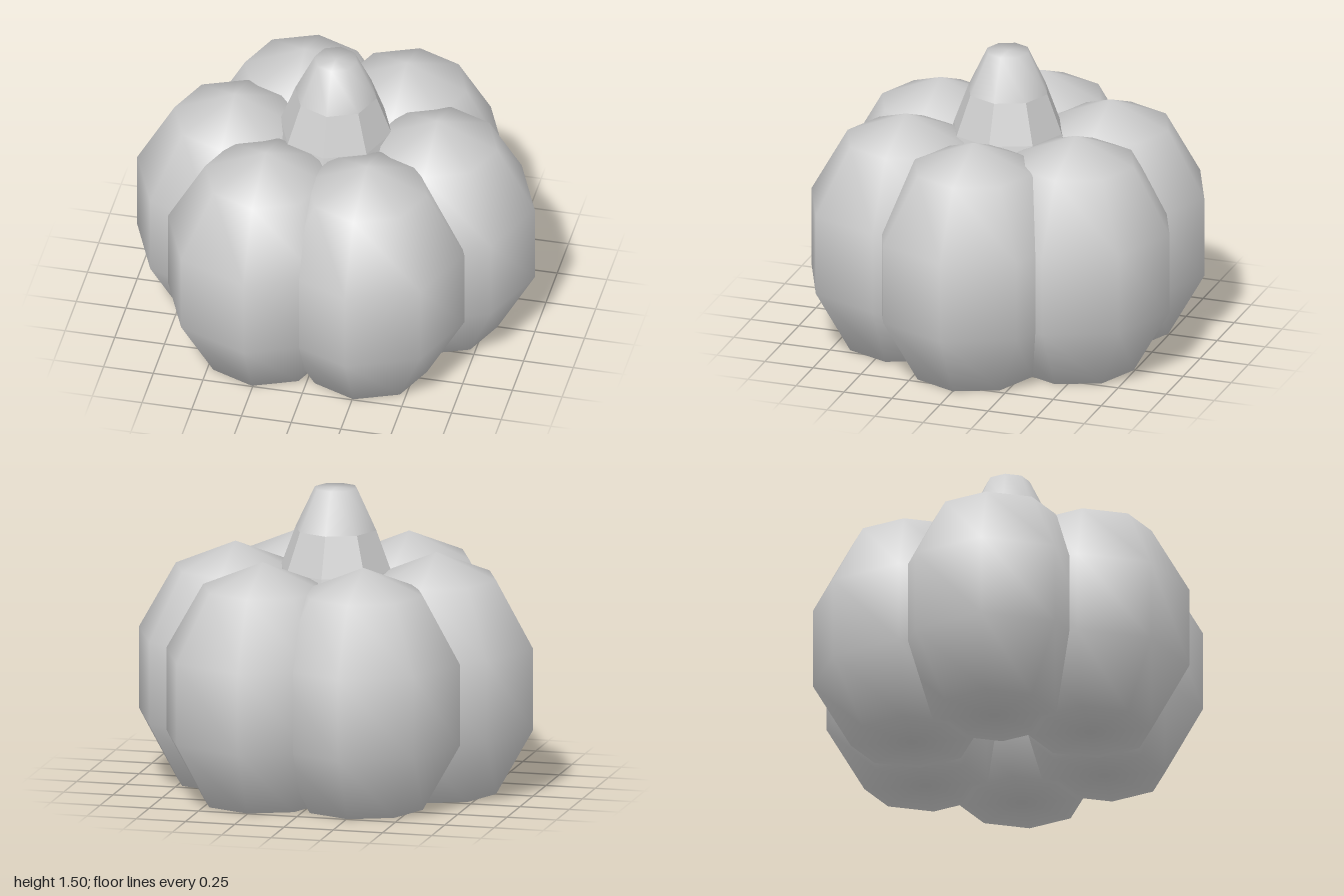
import * as THREE from 'three';

const grey = new THREE.MeshStandardMaterial({ color: 0xcccccc });
grey.name = 'light grey';

// One lobe: a coarse, stretched sphere whose underside is pressed flat on the ground
function lobeGeometry() {
  const g = new THREE.SphereGeometry(0.515, 8, 5);
  g.scale(1, 0.663 / 0.515, 1);
  g.translate(0, 0.536, 0);
  const p = g.attributes.position;
  for (let i = 0; i < p.count; i++) p.setY(i, Math.max(0, p.getY(i)));
  return g;
}

// Eight-sided turned band, with points listed from bottom to top
function band(points, name, flat) {
  let g = new THREE.LatheGeometry(points.map(([r, y]) => new THREE.Vector2(r, y)), 8);
  if (flat) {
    g = g.toNonIndexed();
    g.computeVertexNormals();
  }
  const mesh = new THREE.Mesh(g, grey);
  mesh.name = name;
  return mesh;
}

export function createModel() {
  const pumpkin = new THREE.Group();
  pumpkin.name = 'pumpkin';

  // Six equal lobes set in a ring, all facing the same way
  const lobe = lobeGeometry();
  for (let i = 0; i < 6; i++) {
    const a = (i * Math.PI) / 3;
    const mesh = new THREE.Mesh(lobe, grey);
    mesh.name = `lobe${i + 1}`;
    mesh.position.set(0.51 * Math.cos(a), 0, 0.51 * Math.sin(a));
    pumpkin.add(mesh);
  }

  // Stem: smooth tapering top on a faceted, flared foot
  const stem = new THREE.Group();
  stem.name = 'stem';
  stem.add(band([[0.205, 1.29], [0.107, 1.495], [0, 1.495]], 'stemTop', false));
  stem.add(band([[0.31, 0.98], [0.28, 1.09], [0.205, 1.29]], 'stemFoot', true));
  pumpkin.add(stem);

  return pumpkin;
}
